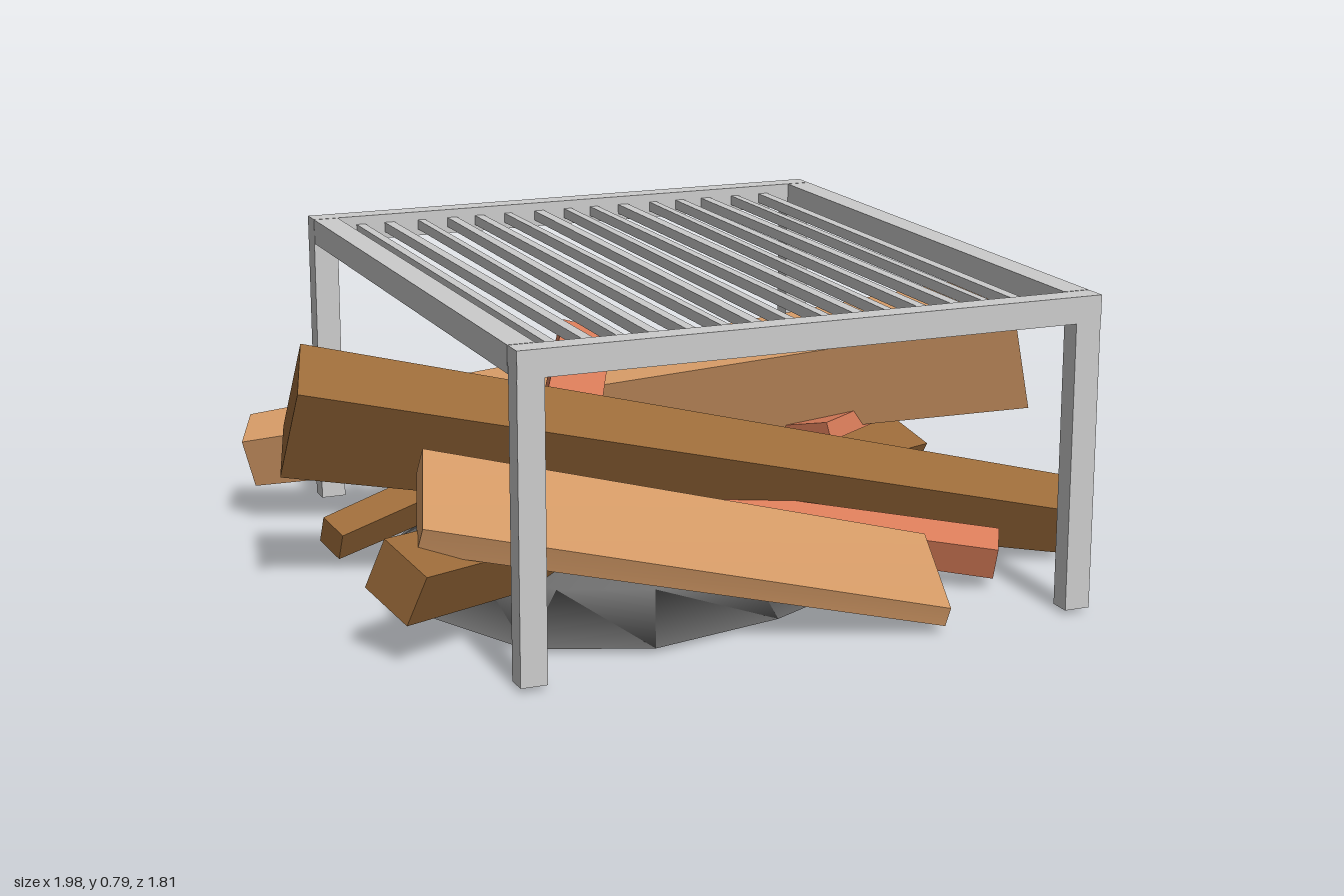
import * as THREE from 'three';

const mat = (color) => new THREE.MeshStandardMaterial({ color });
const TAN = 0xd49a66, BROWN = 0x9a6a39, CORAL = 0xd97c59;

// Tapered timber between two end centres; sizes are [width, height] at each end,
// roll (degrees) tips the top face towards the front.
function timber(name, color, a, b, sizeA, sizeB, rollA = 0, rollB = rollA) {
  const A = new THREE.Vector3(...a), B = new THREE.Vector3(...b);
  const d = B.clone().sub(A).normalize();
  const s = d.clone().cross(new THREE.Vector3(0, 1, 0)).normalize();
  const u = s.clone().cross(d);
  const box = new THREE.BoxGeometry(1, 1, 1);
  const p = box.attributes.position;
  for (let i = 0; i < p.count; i++) {
    const t = p.getX(i) + 0.5;
    const w = p.getZ(i) * THREE.MathUtils.lerp(sizeA[0], sizeB[0], t);
    const h = p.getY(i) * THREE.MathUtils.lerp(sizeA[1], sizeB[1], t);
    const r = THREE.MathUtils.degToRad(THREE.MathUtils.lerp(rollA, rollB, t));
    const v = A.clone().lerp(B, t)
      .addScaledVector(s, w * Math.cos(r) + h * Math.sin(r))
      .addScaledVector(u, h * Math.cos(r) - w * Math.sin(r));
    p.setXYZ(i, v.x, v.y, v.z);
  }
  box.computeVertexNormals();
  const mesh = new THREE.Mesh(box, mat(color));
  mesh.name = name;
  return mesh;
}

// Low smooth heap with an uneven outline and a flat underside
function ashMound() {
  const rim = [[0.7, 0.02], [0.6, 0.25], [0.35, 0.5], [0.05, 0.66], [-0.3, 0.74], [-0.58, 0.63],
    [-0.73, 0.3], [-0.64, -0.05], [-0.6, -0.3], [-0.42, -0.56], [-0.2, -0.71], [0.02, -0.76],
    [0.4, -0.68], [0.75, -0.4]];
  const rings = [[1, 0.015], [0.78, 0.1], [0.5, 0.18], [0.25, 0.22]];
  const n = rim.length, pos = [], idx = [];
  for (const [k, y] of rings) for (const [x, z] of rim) pos.push(x * k, y, z * k);
  const top = n * rings.length;
  pos.push(0, 0.24, 0, 0, 0.03, 0);
  for (let i = 0; i < n; i++) {
    const j = (i + 1) % n;
    for (let r = 0; r < rings.length - 1; r++) {
      const a = r * n + i, b = r * n + j;
      idx.push(a, b + n, b, a, a + n, b + n);
    }
    // rim runs from +x to +z, so upward faces take the reversed order
    idx.push(top - n + i, top, top - n + j, i, j, top + 1);
  }
  const g = new THREE.BufferGeometry();
  g.setAttribute('position', new THREE.Float32BufferAttribute(pos, 3));
  g.setIndex(idx);
  g.computeVertexNormals();
  const mesh = new THREE.Mesh(g, mat(0x6c6c6c));
  mesh.name = 'ashMound';
  return mesh;
}

// Four-legged frame with thin grill bars
function grate() {
  const group = new THREE.Group();
  group.name = 'grate';
  const metal = mat(0xcccccc);
  const x0 = -0.68, x1 = 0.78, z0 = -0.79, z1 = 0.875, top = 0.79, t = 0.065;
  const add = (name, w, h, d, x, y, z) => {
    const m = new THREE.Mesh(new THREE.BoxGeometry(w, h, d), metal);
    m.name = name;
    m.position.set(x, y, z);
    group.add(m);
    return m;
  };
  const cx = (x0 + x1) / 2, cz = (z0 + z1) / 2, yr = top - t / 2;
  for (const z of [z0 + t / 2, z1 - t / 2]) {
    add('crossRail', x1 - x0, t, t * 0.9, cx, yr, z);
    for (const x of [x0 + t / 2, x1 - t / 2])
      add('leg', t, top - t - 0.015, t * 0.85, x, (top - t + 0.015) / 2, z);
  }
  for (const x of [x0 + t / 2, x1 - t / 2]) add('sideRail', t, t, z1 - z0 - 2 * t, x, yr, cz);
  for (let i = 0; i < 15; i++) {
    const w = 0.024 + 0.004 * Math.sin(i * 2.3);
    const bar = add('grillBar', w, 0.026, z1 - z0 - 1.8 * t, -0.55 + i * 0.0845, 0.755, cz);
    bar.rotation.y = 0.006 * Math.sin(i * 1.7);
  }
  return group;
}

export function createModel() {
  const group = new THREE.Group();
  group.name = 'campfire';
  group.add(
    ashMound(),
    grate(),
    // Logs
    timber('largeDarkLog', BROWN, [-0.96, 0.475, 0.02], [0.955, 0.115, 0.47], [0.18, 0.28], [0.13, 0.15], 29),
    timber('largeLightLog', TAN, [-0.885, 0.19, -0.665], [0.905, 0.54, 0.275], [0.14, 0.14], [0.255, 0.265], 17),
    timber('crossLog', BROWN, [-0.88, 0.205, 0.595], [0.9, 0.09, -0.36], [0.15, 0.14], [0.15, 0.12], 25),
    timber('thinLog', BROWN, [-0.82, 0.085, -0.15], [0.4, 0.29, -0.6], [0.08, 0.08], [0.1, 0.12], 25),
    // Planks and sticks
    timber('widePlank', TAN, [-0.77, 0.345, 0.44], [0.43, 0.09, 0.735], [0.31, 0.07], [0.34, 0.05], 21, 14),
    timber('backPlank', CORAL, [0.15, 0.075, -0.84], [0.53, 0.34, 0.15], [0.33, 0.05], [0.28, 0.05], 3, 6),
    timber('frontStick', CORAL, [-0.6, 0.26, -0.03], [0.665, 0.09, 0.615], [0.09, 0.08], [0.09, 0.09], 20),
    timber('uprightStick', CORAL, [-0.3, 0.15, 0.05], [-0.125, 0.56, -0.16], [0.16, 0.12], [0.13, 0.1], 25),
  );
  return group;
}
